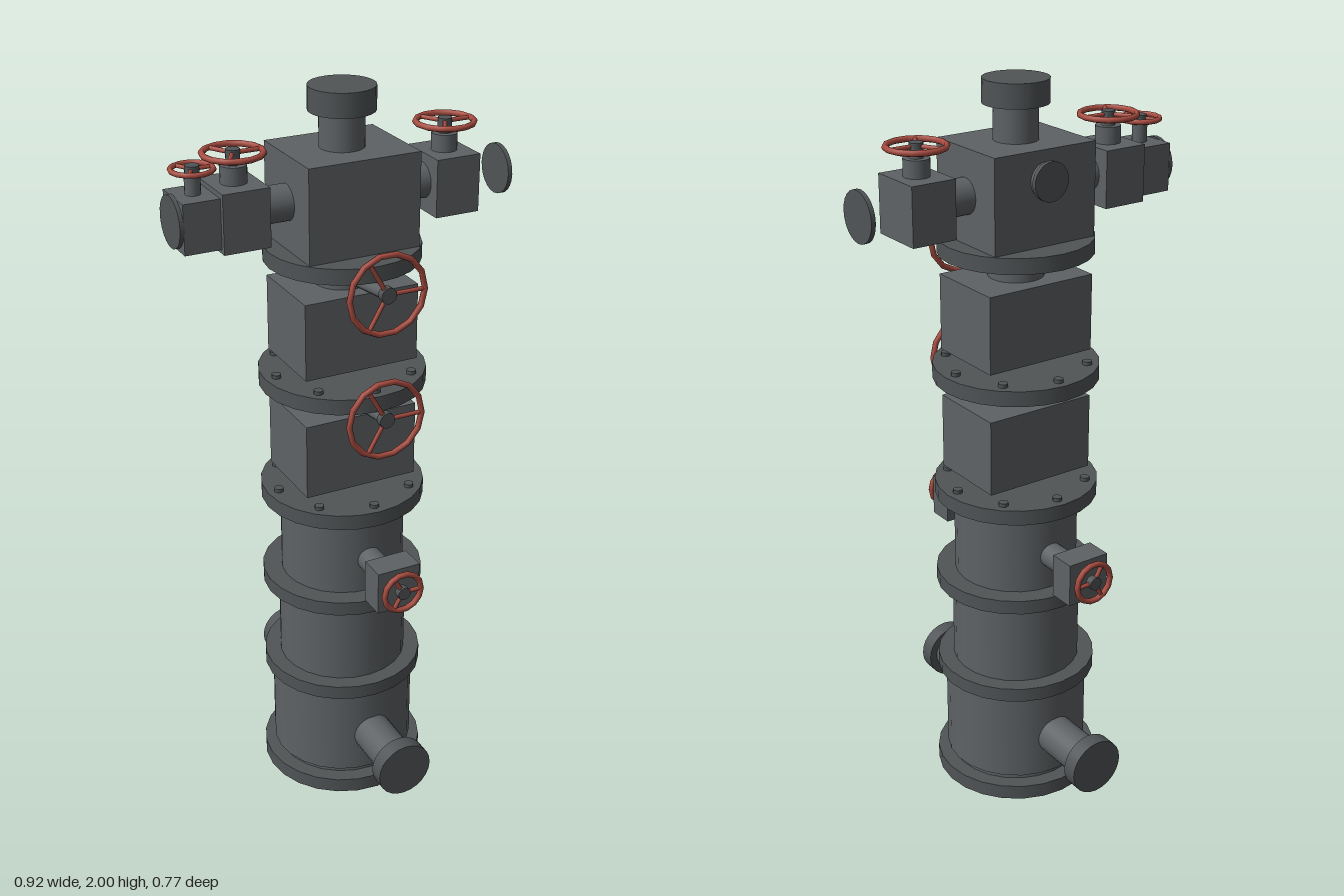
import * as THREE from 'three';

const mat = (name, color) => Object.assign(new THREE.MeshStandardMaterial({ color }), { name });

export function createModel() {
  const root = new THREE.Group();
  root.name = 'wellheadTree';
  const body = mat('steel grey', 0x5e6265);
  const dark = mat('dark flange grey', 0x505456);
  const red = mat('handwheel red', 0xa84c40);
  const V = (x, y, z) => new THREE.Vector3(x, y, z);
  const UP = V(0, 1, 0);

  const add = (name, geo, material, parent = root) => {
    const m = new THREE.Mesh(geo, material);
    m.name = name;
    parent.add(m);
    return m;
  };
  // Box given by its centre and size
  const box = (name, x, y, z, w, h, d) =>
    add(name, new THREE.BoxGeometry(w, h, d), body).position.set(x, y, z);
  // Cylinder running between two points
  const rod = (name, a, b, r, material = body, parent = root, sides = 24) => {
    const dir = b.clone().sub(a);
    const m = add(name, new THREE.CylinderGeometry(r, r, dir.length(), sides), material, parent);
    m.position.copy(a).add(b).multiplyScalar(0.5);
    m.quaternion.setFromUnitVectors(UP, dir.normalize());
  };
  // Upright cylinder on the main axis
  const drum = (name, y0, y1, r, material = body) => rod(name, V(0, y0, 0), V(0, y1, 0), r, material);

  // Rim, three spokes and hub, lying in the local xy plane
  const wheel = (name, pos, r, tube, hubR) => {
    const g = new THREE.Group();
    g.name = name;
    const R = r - tube;
    add('rim', new THREE.TorusGeometry(R, tube, 8, 14), red, g);
    for (let i = 0; i < 3; i++) {
      const a = (i * Math.PI * 2) / 3;
      rod('spoke', V(0, 0, 0), V(Math.cos(a) * R, Math.sin(a) * R, 0), tube * 0.75, red, g, 8);
    }
    rod('hub', V(0, 0, -0.01), V(0, 0, 0.01), hubR, dark, g, 16);
    g.position.copy(pos);
    root.add(g);
    return g;
  };

  // Casing stack with flanges
  drum('baseFlange', 0, 0.042, 0.228, dark);
  drum('casingNeck', 0.042, 0.06, 0.187);
  drum('lowerCasing', 0.06, 0.325, 0.2);
  drum('lowerFlange', 0.325, 0.365, 0.222, dark);
  drum('middleCasing', 0.365, 0.605, 0.178);
  drum('middleFlange', 0.605, 0.645, 0.222, dark);
  drum('upperCasing', 0.645, 0.875, 0.17);

  // Bolted flanges
  for (const y of [0.875, 1.213]) {
    drum('boltedFlange', y, y + 0.042, 0.222, dark);
    for (let i = 0; i < 8; i++) {
      const a = (i * Math.PI) / 4;
      const x = Math.cos(a) * 0.19, z = Math.sin(a) * 0.19;
      rod('bolt', V(x, y + 0.04, z), V(x, y + 0.052, z), 0.013, dark, root, 8);
    }
  }
  drum('treeFlange', 1.558, 1.6, 0.204, dark);

  // Two master valves with sloping stems and front handwheels
  for (const y of [0.945, 1.285]) {
    box('masterValveBody', 0, y + 0.104, 0, 0.32, 0.208, 0.23);
    drum('masterValveBonnet', y + 0.208, y + 0.247, 0.074);
    rod('masterValveStem', V(0, y + 0.23, 0.04), V(0, y + 0.256, 0.235), 0.016, body, root, 12);
    wheel('masterHandwheel', V(0, y + 0.256, 0.247), 0.112, 0.008, 0.021);
  }

  // Tree block and top cap
  box('treeBlock', 0, 1.723, 0, 0.306, 0.246, 0.257);
  drum('capNeck', 1.846, 1.94, 0.058);
  drum('treeCap', 1.938, 2, 0.086, dark);
  rod('rearBoss', V(0, 1.77, -0.12), V(0, 1.77, -0.142), 0.046);
  rod('rearPlate', V(0, 1.77, -0.142), V(0, 1.77, -0.154), 0.051, dark);

  // Bonnet, stem and flat handwheel on top of a wing valve
  const topValve = (x, y, wheelY, bonnetR, wheelR, tube) => {
    rod('wingBonnet', V(x, y, 0), V(x, y + 0.045, 0), bonnetR, body, root, 16);
    rod('wingStem', V(x, y + 0.04, 0), V(x, wheelY, 0), 0.018, body, root, 12);
    wheel('wingHandwheel', V(x, wheelY, 0), wheelR, tube, 0.018).rotation.x = -Math.PI / 2;
  };

  // Wing valves on both sides, with round end plates
  for (const s of [-1, 1]) {
    rod('wingPipe', V(s * 0.14, 1.725, 0), V(s * 0.24, 1.725, 0), 0.047);
    box('wingValveBody', s * 0.292, 1.721, 0, 0.124, 0.152, 0.154);
    topValve(s * 0.292, 1.797, 1.87, 0.034, 0.083, 0.008);
    rod('wingEndPlate', V(s * 0.448, 1.723, 0), V(s * 0.46, 1.723, 0), 0.066, dark);
  }
  box('outerWingValveBody', -0.4, 1.72, 0, 0.1, 0.128, 0.128);
  topValve(-0.398, 1.784, 1.845, 0.02, 0.059, 0.007);

  // Casing outlets and annulus valves, front and back
  for (const s of [-1, 1]) {
    rod('outletPipe', V(0, 0.175, s * 0.18), V(0, 0.175, s * 0.35), 0.056);
    rod('outletFlange', V(0, 0.175, s * 0.343), V(0, 0.175, s * 0.386), 0.079, dark);
    rod('annulusPipe', V(0, 0.742, s * 0.15), V(0, 0.742, s * 0.262), 0.035);
    box('annulusValveBody', 0, 0.74, s * 0.294, 0.122, 0.12, 0.074);
    wheel('annulusHandwheel', V(0, 0.742, s * 0.354), 0.062, 0.008, 0.018);
  }
  return root;
}
